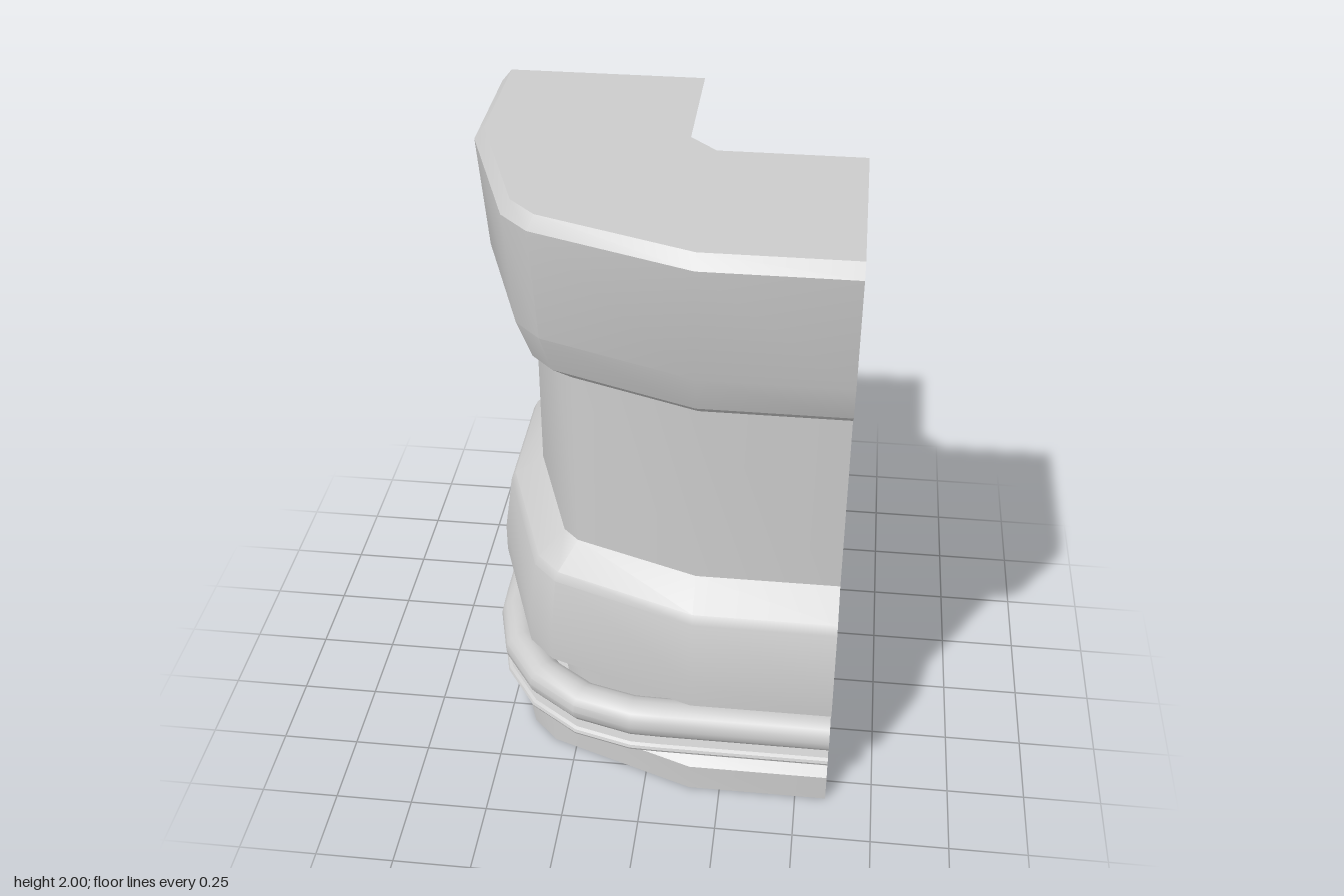
import * as THREE from 'three';
import { toCreasedNormals } from 'three/addons/utils/BufferGeometryUtils.js';

const END = 0.6; // both wings of the corner are cut off here

// The corner is symmetric about its diagonal: (x, z) -> (-z, -x)
const mirrorPath = (half) => half.concat(half.map(([x, z]) => [-z, -x]).reverse());

// Faceted plan of the wall at distance d from the centre
function wallPath(d) {
  const e = END - d;
  return mirrorPath([[-d, -END], [-d, -0.15], [-0.425 + 0.78 * e, 0.335 - 0.55 * e]]);
}

// Rounder plan used by the rails
function railPath(d) {
  const path = [[-d, -END], [-d, -0.05]];
  for (const deg of [5, 25, 45, 65, 85]) {
    const a = THREE.MathUtils.degToRad(deg);
    path.push([-d * Math.cos(a), d * Math.sin(a)]);
  }
  path.push([0.05, d], [END, d]);
  return path;
}

// Sweep a profile of [distance, height] points, listed from top to bottom, along a plan
function sweep(profile, plan) {
  const rows = profile.map(([d, y]) => plan(d).map(([x, z]) => [x, y, z]));
  const pos = [];
  for (let j = 0; j < rows.length - 1; j++) {
    for (let i = 0; i < rows[j].length - 1; i++) {
      const a = rows[j][i], b = rows[j][i + 1];
      const c = rows[j + 1][i], d = rows[j + 1][i + 1];
      pos.push(...c, ...d, ...a, ...d, ...b, ...a);
    }
  }
  const geo = new THREE.BufferGeometry();
  geo.setAttribute('position', new THREE.Float32BufferAttribute(pos, 3));
  return toCreasedNormals(geo, 0.5);
}

export function createModel() {
  const group = new THREE.Group();
  const material = new THREE.MeshStandardMaterial({ color: 0xcccccc, side: THREE.DoubleSide });
  const add = (name, geo) => {
    const mesh = new THREE.Mesh(geo, material);
    mesh.name = name;
    group.add(mesh);
  };

  // Flared upper band, recessed middle and bulging lower band
  add('wallShell', sweep([
    [0.567, 2], [0.6, 1.96], [0.57, 1.6], [0.52, 1.47], [0.435, 1.405],
    [0.435, 0.785], [0.535, 0.71], [0.55, 0.68], [0.58, 0.47], [0.58, 0.37],
    [0.5, 0.325], [0.435, 0.32],
  ], wallPath));

  // Recess behind the rails, then the plinth with its narrow underside
  add('railRecess', sweep([[0.435, 0.32], [0.435, 0.145]], wallPath));
  add('plinth', sweep([
    [0.435, 0.145], [0.55, 0.122], [0.58, 0.095], [0.58, 0], [0.32, 0],
  ], wallPath));

  // Round pipe, open at both ends
  const circle = [];
  for (let k = 0; k <= 16; k++) {
    const a = Math.PI / 2 - (k / 16) * Math.PI * 2;
    circle.push([0.508 + 0.063 * Math.cos(a), 0.238 + 0.063 * Math.sin(a)]);
  }
  add('pipeRail', sweep(circle, railPath));

  // Thin rounded ledge under the pipe
  add('thinRail', sweep([
    [0.44, 0.159], [0.552, 0.159], [0.562, 0.153], [0.566, 0.144],
    [0.562, 0.135], [0.552, 0.129], [0.44, 0.129],
  ], railPath));

  // Flat top with a chamfered inner corner
  const inner = mirrorPath([[0.065, -END], [0.065, -0.15]]).reverse();
  const outline = [...wallPath(0.567), ...inner].map(([x, z]) => new THREE.Vector2(x, -z));
  add('topCap', new THREE.ShapeGeometry(new THREE.Shape(outline))
    .rotateX(-Math.PI / 2).translate(0, 2, 0));

  return group;
}
